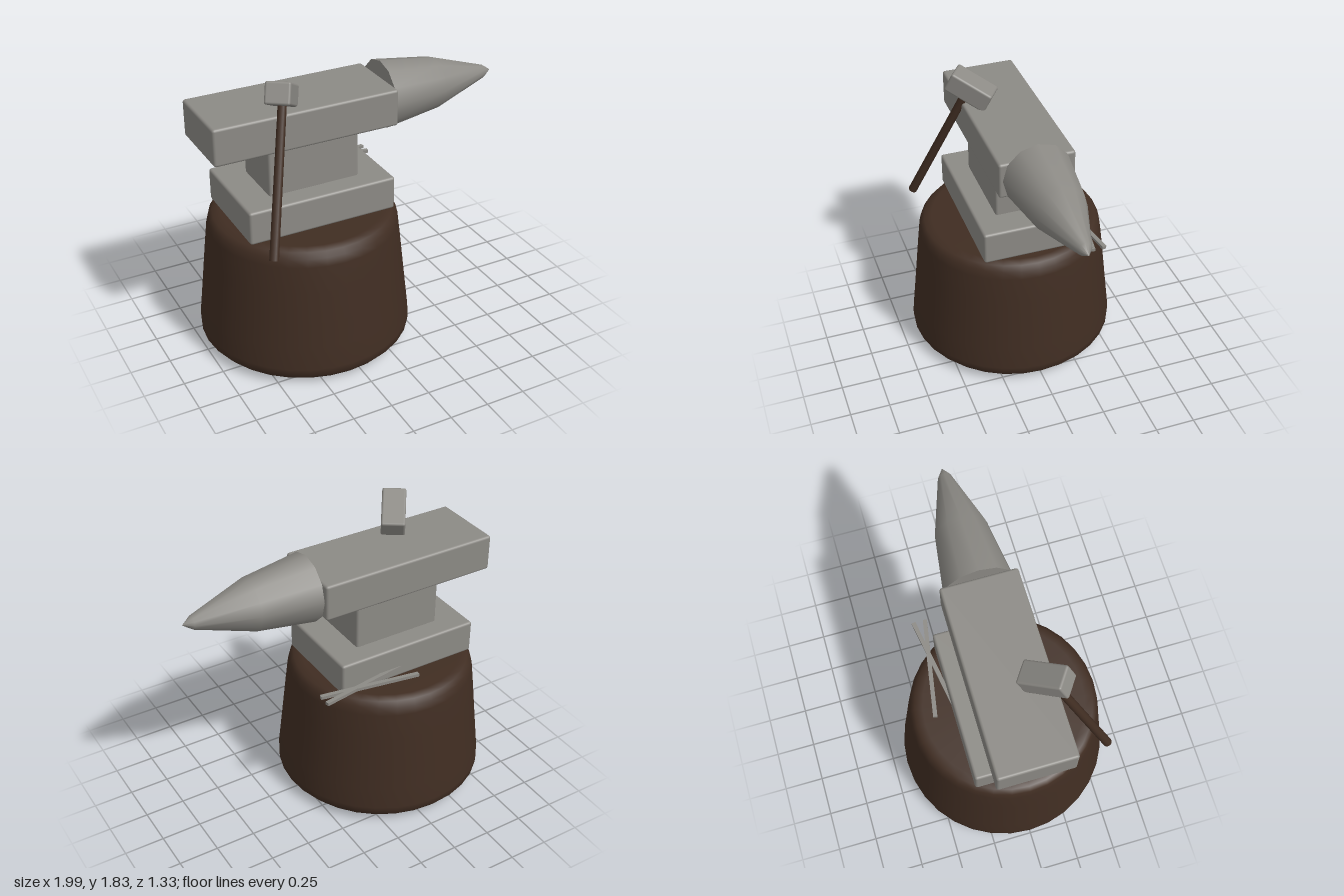
import * as THREE from 'three';
import { RoundedBoxGeometry } from 'three/addons/geometries/RoundedBoxGeometry.js';

const steel = new THREE.MeshStandardMaterial({ name: 'grey steel', color: 0x8c8a85 });
const wood = new THREE.MeshStandardMaterial({ name: 'dark wood', color: 0x402d22 });

export function createModel() {
  const model = new THREE.Group();
  model.name = 'anvilOnStump';

  const add = (name, geometry, material, x = 0, y = 0, z = 0, parent = model) => {
    const mesh = new THREE.Mesh(geometry, material);
    mesh.name = name;
    mesh.position.set(x, y, z);
    parent.add(mesh);
    return mesh;
  };
  const profile = (pairs) => pairs.map(([r, y]) => new THREE.Vector2(r, y));
  // Softened block given by its bounds in x and y and its depth in z
  const block = (name, x0, x1, y0, y1, depth) =>
    add(name, new RoundedBoxGeometry(x1 - x0, y1 - y0, depth, 2, 0.016), steel,
      (x0 + x1) / 2, (y0 + y1) / 2, 0);

  // Tree stump, flared at the foot with rounded rims
  add('stump', new THREE.LatheGeometry(profile([
    [0, 0], [0.4, 0.003], [0.56, 0.01], [0.63, 0.028], [0.662, 0.065], [0.664, 0.11],
    [0.648, 0.25], [0.629, 0.42], [0.607, 0.62], [0.588, 0.78],
    [0.576, 0.83], [0.55, 0.862], [0.5, 0.873], [0, 0.873],
  ]), 32), wood, -0.33);

  // Anvil: foot, waist and body
  block('anvilFoot', -0.805, 0.14, 0.875, 1.085, 0.63);
  block('anvilWaist', -0.62, -0.04, 1.07, 1.395, 0.365);
  block('anvilBody', -0.965, 0.2, 1.38, 1.61, 0.47);

  // Tapered horn along +x, with a flat back
  const horn = new THREE.Group();
  horn.name = 'horn';
  horn.position.set(0.2, 1.495, 0);
  horn.rotation.z = -Math.PI / 2;
  model.add(horn);
  add('hornCone', new THREE.LatheGeometry(profile([
    [0.212, 0], [0.16, 0.375], [0.042, 0.735], [0, 0.795],
  ]), 12), steel, 0, 0, 0, horn);
  const back = add('hornBack', new THREE.CircleGeometry(0.212, 12), steel, 0, 0, 0, horn);
  back.rotation.x = Math.PI / 2;

  // Crossed tongs lying beside the foot
  for (const side of [-1, 1]) {
    const bar = add(side < 0 ? 'tongBarA' : 'tongBarB',
      new THREE.BoxGeometry(0.635, 0.02, 0.026), steel, -0.013, 0.935, side < 0 ? -0.378 : -0.347);
    bar.rotation.y = side * 0.165;
  }

  // Hammer leaning on the anvil; its local y runs up the handle
  const foot = new THREE.Vector3(-0.757, 0.885, 0.53);
  const top = new THREE.Vector3(-0.525, 1.7, 0.195);
  const up = top.clone().sub(foot);
  const length = up.length();
  up.normalize();
  const across = new THREE.Vector3(0, 1, 0).cross(up).normalize();
  const along = across.clone().cross(up);
  const hammer = new THREE.Group();
  hammer.name = 'hammer';
  hammer.position.copy(foot);
  hammer.quaternion.setFromRotationMatrix(new THREE.Matrix4().makeBasis(along, up, across.clone().negate()));
  model.add(hammer);
  add('hammerHandle', new THREE.CylinderGeometry(0.026, 0.028, length, 12), wood, 0, length / 2, 0, hammer);
  const head = add('hammerHead', new RoundedBoxGeometry(0.28, 0.13, 0.148, 2, 0.014), steel, 0, 0, 0, hammer);
  hammer.updateMatrixWorld(true);
  head.position.copy(hammer.worldToLocal(new THREE.Vector3(-0.52, 1.71, 0.173)));

  return model;
}
